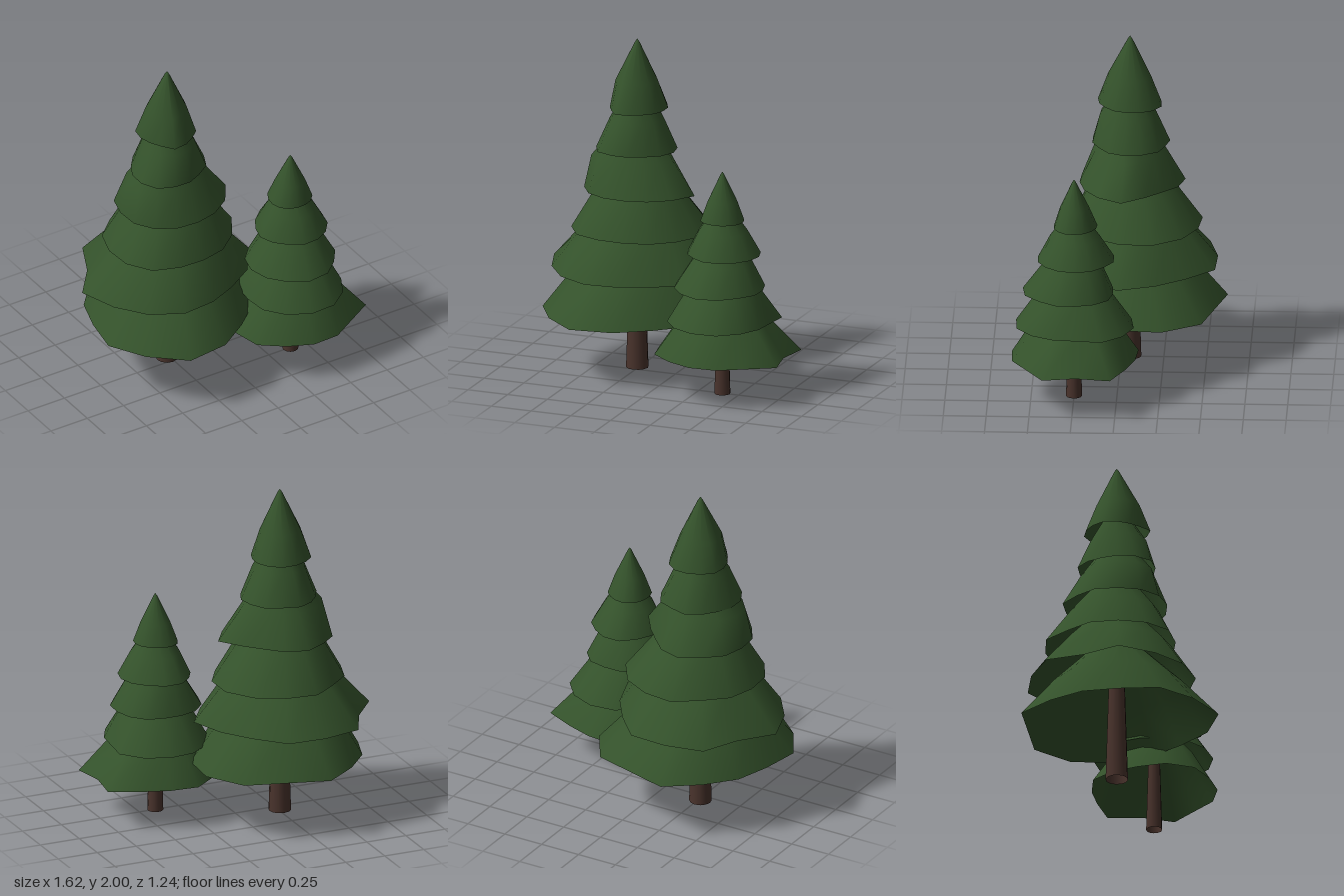
import * as THREE from 'three';

const needles = new THREE.MeshStandardMaterial({ color: 0x34522b, side: THREE.DoubleSide });
needles.name = 'needleGreen';
const bark = new THREE.MeshStandardMaterial({ color: 0x49332c, side: THREE.DoubleSide });
bark.name = 'barkBrown';

// Open skirt of branches: ragged flat rim, smoother middle ring, small tip ring and apex.
// swell = [angle in degrees, amount] bulges the middle ring on one side.
function tierGeometry(rim, height, phase, [swellAngle, swellAmount] = [0, 0]) {
  const n = rim.length;
  const mean = rim.reduce((a, b) => a + b, 0) / n;
  // [height fraction, radius fraction, share of raggedness, share of swell]
  const rings = [[0, 1, 1, 0], [0.4, 0.67, 0.5, 1], [0.95, 0.08, 0, 0]];
  const positions = [];
  const index = [];
  for (const [h, scale, ragged, swell] of rings) {
    for (let j = 0; j < n; j++) {
      const angle = phase + (j / n) * Math.PI * 2;
      const side = Math.max(0, Math.cos(angle - THREE.MathUtils.degToRad(swellAngle)));
      const r = scale * (mean + (rim[j] - mean) * ragged) + swell * swellAmount * side ** 2;
      positions.push(r * Math.cos(angle), h * height, r * Math.sin(angle));
    }
  }
  positions.push(0, height, 0);
  const apex = rings.length * n;
  for (let i = 0; i < rings.length; i++) {
    for (let j = 0; j < n; j++) {
      const k = (j + 1) % n;
      const a = i * n + j, b = i * n + k;
      if (i === rings.length - 1) index.push(a, apex, b);
      else index.push(a, a + n, b, b, a + n, b + n);
    }
  }
  const geometry = new THREE.BufferGeometry();
  geometry.setAttribute('position', new THREE.Float32BufferAttribute(positions, 3));
  geometry.setIndex(index);
  geometry.computeVertexNormals();
  return geometry;
}

function makeTree({ name, x, z, phase, base, step, lowHeight, topHeight, trunk, tiers, swells }) {
  const tree = new THREE.Group();
  tree.name = name;
  tree.position.set(x, 0, z);

  // Tapered open trunk reaching up inside the lowest branches
  const [bottomR, topR, trunkHeight] = trunk;
  const trunkMesh = new THREE.Mesh(
    new THREE.CylinderGeometry(topR, bottomR, trunkHeight, 12, 1, true), bark);
  trunkMesh.name = 'trunk';
  trunkMesh.position.y = trunkHeight / 2;
  tree.add(trunkMesh);

  // Stacked branch tiers, getting shorter towards the top
  tiers.forEach((rim, i) => {
    const t = i / (tiers.length - 1);
    const height = THREE.MathUtils.lerp(lowHeight, topHeight, t);
    const tier = new THREE.Mesh(
      tierGeometry(rim, height, THREE.MathUtils.degToRad(phase), swells[i]), needles);
    tier.name = 'branchTier' + (i + 1);
    tier.position.y = base + i * step;
    tree.add(tier);
  });
  return tree;
}

export function createModel() {
  const model = new THREE.Group();
  model.name = 'pineTrees';

  model.add(makeTree({
    name: 'tallPine', x: -0.262, z: -0.052, phase: 6,
    base: 0.364, step: 0.2435, lowHeight: 0.6, topHeight: 0.4185,
    trunk: [0.066, 0.04, 0.85],
    // Rim radii around each tier, lowest first
    tiers: [
      [0.55, 0.50, 0.485, 0.544, 0.606, 0.562, 0.552, 0.48, 0.485, 0.50, 0.573, 0.53, 0.605, 0.60],
      [0.53, 0.47, 0.42, 0.43, 0.47, 0.485, 0.50, 0.55, 0.465, 0.545, 0.515, 0.53, 0.47, 0.48],
      [0.42, 0.38, 0.36, 0.34, 0.35, 0.385, 0.385, 0.375, 0.38, 0.37, 0.425, 0.425, 0.44, 0.445],
      [0.38, 0.34, 0.31, 0.295, 0.30, 0.31, 0.31, 0.30, 0.31, 0.30, 0.325, 0.30, 0.27, 0.295],
      [0.24, 0.23, 0.21, 0.22, 0.23, 0.25, 0.24, 0.225, 0.21, 0.22, 0.235, 0.22, 0.24, 0.235],
      [0.17, 0.17, 0.165, 0.18, 0.20, 0.165, 0.16, 0.17, 0.185, 0.18, 0.185, 0.195, 0.19, 0.18],
    ],
    swells: { 3: [165, 0.06], 4: [90, 0.025], 5: [143, 0.015] },
  }));

  model.add(makeTree({
    name: 'smallPine', x: 0.398, z: 0.25, phase: -3,
    base: 0.25, step: 0.201, lowHeight: 0.48, topHeight: 0.296,
    trunk: [0.047, 0.03, 0.6],
    tiers: [
      [0.376, 0.446, 0.365, 0.372, 0.37, 0.367, 0.40, 0.388, 0.35, 0.36, 0.387, 0.364, 0.377, 0.463],
      [0.29, 0.30, 0.32, 0.345, 0.345, 0.335, 0.325, 0.30, 0.31, 0.325, 0.345, 0.355, 0.355, 0.35],
      [0.25, 0.265, 0.265, 0.295, 0.305, 0.29, 0.285, 0.28, 0.27, 0.255, 0.235, 0.23, 0.25, 0.25],
      [0.225, 0.22, 0.215, 0.215, 0.215, 0.20, 0.205, 0.213, 0.205, 0.215, 0.24, 0.235, 0.22, 0.225],
      [0.128, 0.13, 0.125, 0.12, 0.12, 0.125, 0.13, 0.128, 0.13, 0.14, 0.14, 0.13, 0.125, 0.128],
    ],
    swells: {},
  }));

  return model;
}
